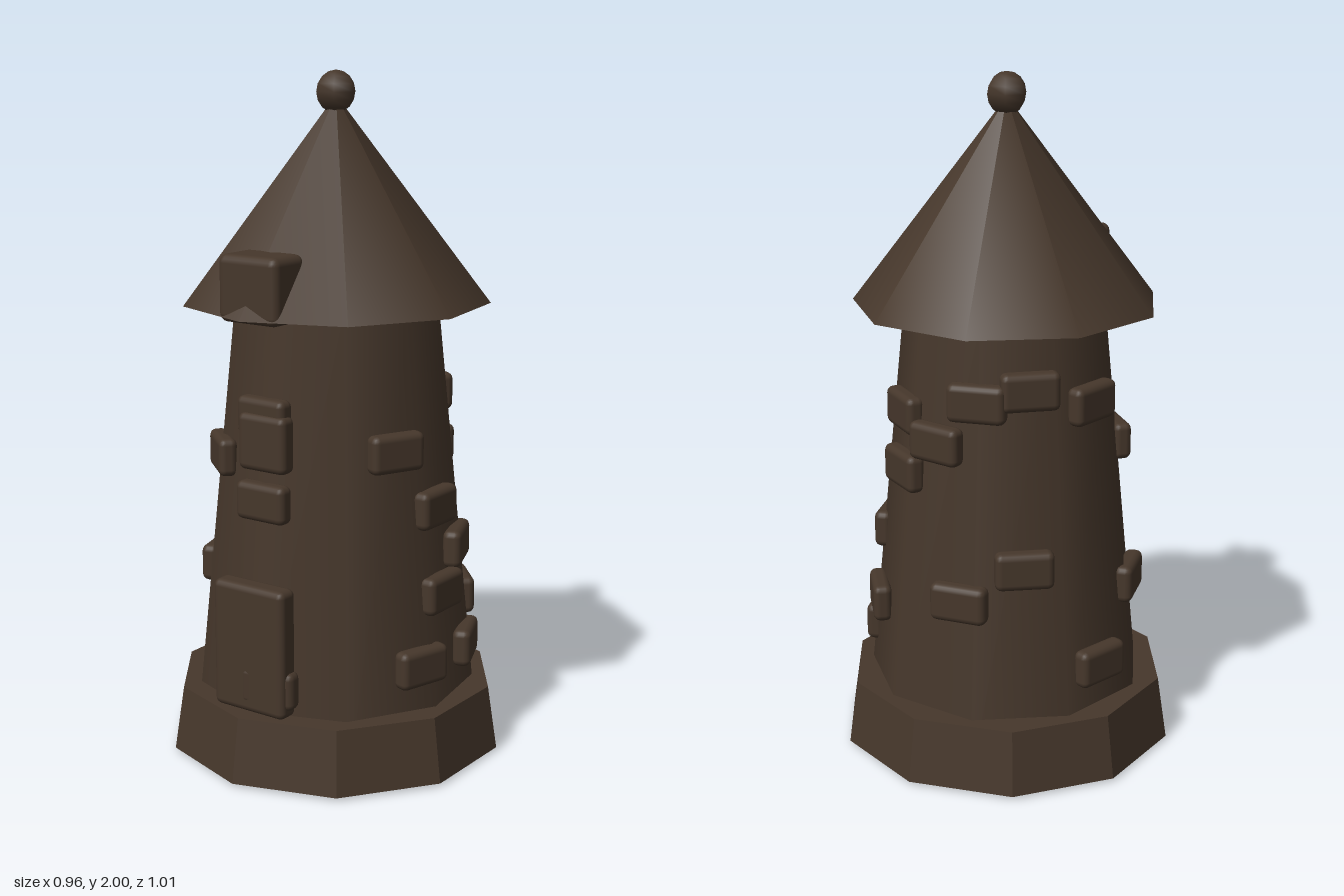
import * as THREE from 'three';
import { RoundedBoxGeometry } from 'three/addons/geometries/RoundedBoxGeometry.js';

const SIDES = 9;
// radius of the tapering wall at height y
const wallRadius = (y) => 0.435 - 0.101 * y;

export function createModel() {
  const group = new THREE.Group();
  const brown = new THREE.MeshStandardMaterial({ color: 0x46372b });
  const brownFlat = new THREE.MeshStandardMaterial({ color: 0x46372b, flatShading: true });

  const add = (name, geometry, x, y, z, material = brown) => {
    const mesh = new THREE.Mesh(geometry, material);
    mesh.name = name;
    mesh.position.set(x, y, z);
    group.add(mesh);
    return mesh;
  };

  // ten-sided plinth
  add('base', new THREE.CylinderGeometry(0.476, 0.505, 0.19, 10), 0, 0.105, 0, brownFlat);

  // tapering tower wall
  const wallHeight = 1.35;
  add('wall', new THREE.CylinderGeometry(wallRadius(wallHeight), wallRadius(0), wallHeight, SIDES),
    0, wallHeight / 2, 0);

  // conical roof with a ball on top
  add('roof', new THREE.ConeGeometry(0.45, 0.59, SIDES), 0, 1.635, 0);
  add('finial', new THREE.SphereGeometry(0.061, 6, 8), 0, 1.939, 0);

  // front openings
  add('door', new RoundedBoxGeometry(0.25, 0.38, 0.07, 2, 0.02), 0, 0.392, 0.397);
  add('window', new RoundedBoxGeometry(0.165, 0.165, 0.06, 2, 0.02), 0, 0.98, 0.335);
  add('dormer', new RoundedBoxGeometry(0.205, 0.19, 0.14, 2, 0.025), 0, 1.42, 0.35);

  // raised stones: [degrees round from the front, height]
  const stones = [
    [8, 0.283], [0, 0.81], [-2.5, 1.05], [66, 0.955], [90, 0.775], [112, 0.63],
    [90, 0.525], [133, 0.445], [74, 0.33], [113, 0.325], [150, 1.055], [154, 0.89],
    [177, 0.995], [199, 1.125], [226, 1.16], [263, 1.1], [320, 0.905], [222, 0.65],
    [193, 0.545], [257, 0.33], [288, 0.525],
  ];
  const stoneGeometry = new RoundedBoxGeometry(0.17, 0.112, 0.055, 2, 0.02);
  for (const [degrees, y] of stones) {
    const angle = THREE.MathUtils.degToRad(degrees);
    const r = wallRadius(y) - 0.005;
    add('stone', stoneGeometry, r * Math.sin(angle), y, r * Math.cos(angle)).rotation.y = angle;
  }
  return group;
}
